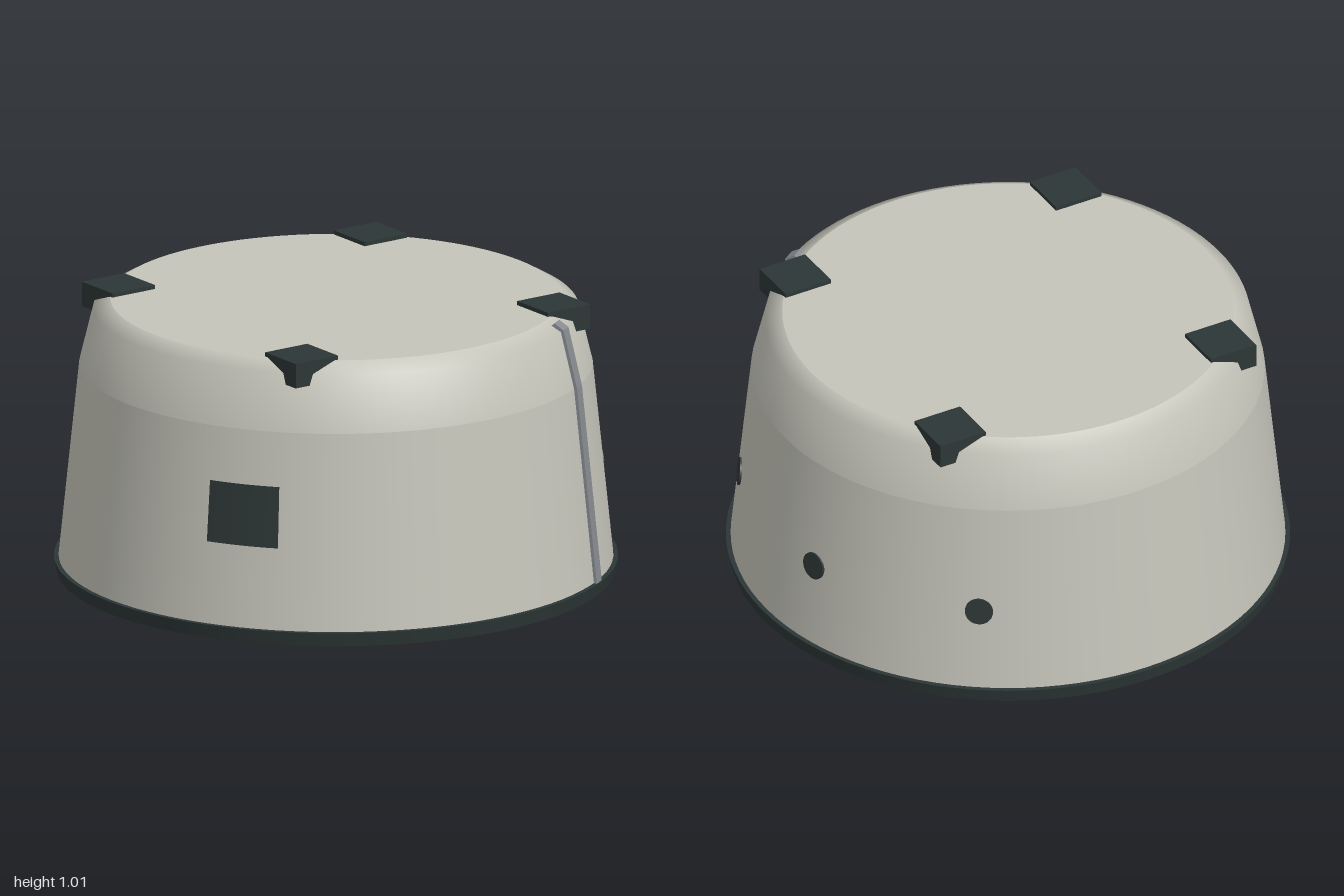
import * as THREE from 'three';

const SEGMENTS = 96;
const deg = THREE.MathUtils.degToRad;

const mat = (name, color) =>
  new THREE.MeshStandardMaterial({ name, color, side: THREE.DoubleSide });

// Surface of revolution from [radius, height] pairs
const lathe = (points) =>
  new THREE.LatheGeometry(points.map(([r, y]) => new THREE.Vector2(r, y)), SEGMENTS);

// Radius of the lower wall at a given height
const wallSlope = (0.985 - 0.91) / (0.76 - 0.05);
const wallRadius = (y) => 0.985 - (y - 0.05) * wallSlope;

export function createModel() {
  const model = new THREE.Group();
  model.name = 'tub';

  const cream = mat('cream body', 0xc4c4ba);
  const dark = mat('dark rubber', 0x2d3636);
  const grey = mat('grey strap', 0x868a90);

  const add = (name, geometry, material, parent = model) => {
    const mesh = new THREE.Mesh(geometry, material);
    mesh.name = name;
    parent.add(mesh);
    return mesh;
  };

  // Hollow shell, open underneath, with creases between its sections
  add('wall', lathe([[0.985, 0.03], [0.91, 0.76]]), cream);
  add('shoulder', lathe([[0.91, 0.76], [0.86, 0.965], [0.8, 1]]), cream);
  const lid = add('topPlate', new THREE.CircleGeometry(0.8, SEGMENTS), cream);
  lid.rotation.x = -Math.PI / 2;
  lid.position.y = 1;

  // Dark band around the open edge, one hard-edged face at a time
  const rim = new THREE.Group();
  rim.name = 'rim';
  model.add(rim);
  const section = [[0.972, 0], [0.99, 0], [1, 0.05], [0.972, 0.05], [0.972, 0]];
  for (let i = 0; i < section.length - 1; i++) {
    add('rimFace', lathe([section[i], section[i + 1]]), dark, rim);
  }

  // Four square feet set into the shoulder
  for (const x of [-1, 1]) {
    for (const z of [-1, 1]) {
      const foot = add('foot', new THREE.BoxGeometry(0.185, 0.09, 0.185), dark);
      foot.position.set(x * 0.552, 0.97, z * 0.552);
    }
  }

  // Curved square panel on the front left
  const low = 0.345, high = 0.565, lift = 0.005;
  const panel = add('panel', new THREE.CylinderGeometry(
    wallRadius(high) + lift, wallRadius(low) + lift, high - low,
    12, 1, true, deg(25.5), deg(16.1)), dark);
  panel.position.y = (low + high) / 2;

  // Three round ports across the back, tilted with the wall
  for (const angle of [154, 194, 234]) {
    const holder = new THREE.Group();
    holder.name = 'portHolder';
    holder.rotation.y = deg(angle);
    model.add(holder);
    const port = add('port', new THREE.CylinderGeometry(0.05, 0.05, 0.008, 32), dark, holder);
    port.position.set(0, 0.355, wallRadius(0.355) + 0.001);
    port.rotation.x = Math.PI / 2 - Math.atan(wallSlope);
  }

  // Grey strap following the wall profile
  const inner = [[0.985, 0.05], [0.91, 0.76], [0.86, 0.965], [0.825, 0.985]];
  const outer = [[0.835, 0.995], [0.87, 0.972], [0.921, 0.762], [0.996, 0.05]];
  const profile = new THREE.Shape([...inner, ...outer].map(([r, y]) => new THREE.Vector2(r, y)));
  const strapGeometry = new THREE.ExtrudeGeometry(profile, { depth: 0.05, bevelEnabled: false });
  strapGeometry.translate(0, 0, -0.025);
  add('strap', strapGeometry, grey).rotation.y = deg(33.5);

  return model;
}
